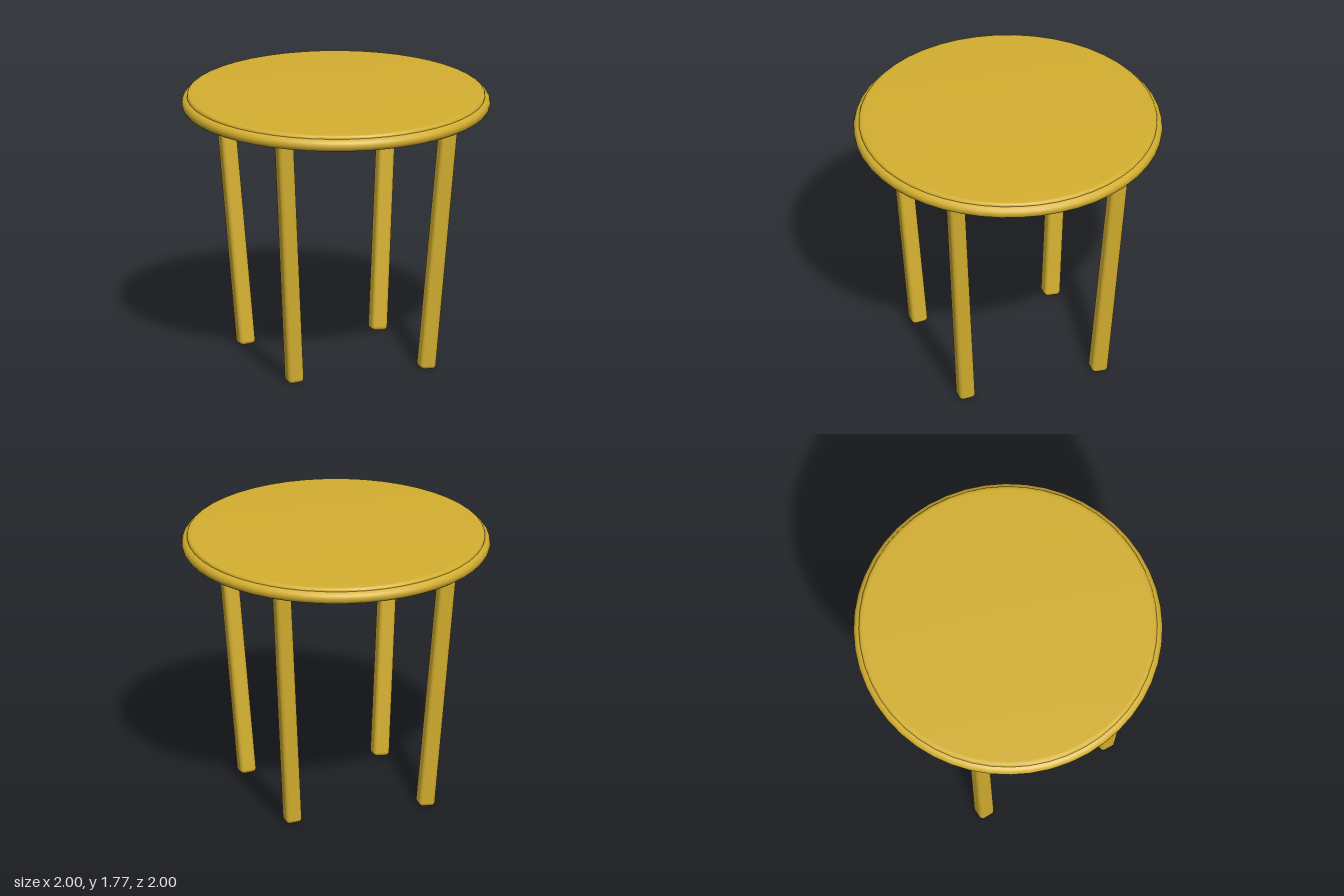
import * as THREE from 'three';
import { toCreasedNormals } from 'three/addons/utils/BufferGeometryUtils.js';
import { RoundedBoxGeometry } from 'three/addons/geometries/RoundedBoxGeometry.js';

const golden = new THREE.MeshStandardMaterial({ color: 0xd4af30 });
golden.name = 'golden wood';

// Round top: a disc with a rounded upper edge, wrapped by a round rim that hangs below it
function makeTableTop() {
  const points = [[0, 1.702], [0.85, 1.702]];
  const rimRadius = 0.042;
  for (let i = 0; i <= 10; i++) {
    const angle = THREE.MathUtils.degToRad(195 + i * 24.5);
    points.push([0.958 + rimRadius * Math.cos(angle), 1.713 + rimRadius * Math.sin(angle)]);
  }
  points.push([0.966, 1.762], [0.962, 1.77], [0.952, 1.775], [0.935, 1.776], [0, 1.776]);
  const profile = points.map(([r, y]) => new THREE.Vector2(r, y));
  const geometry = toCreasedNormals(new THREE.LatheGeometry(profile, 48), 0.8);
  const top = new THREE.Mesh(geometry, golden);
  top.name = 'tableTop';
  return top;
}

// Square leg with softened edges, splayed outwards towards the top
function makeLeg(sx, sz, name) {
  const foot = new THREE.Vector3(0.4535 * sx, 0.005, 0.4535 * sz);
  const head = new THREE.Vector3(0.571 * sx, 1.73, 0.571 * sz);
  const axis = head.clone().sub(foot);
  const geometry = new RoundedBoxGeometry(0.107, axis.length(), 0.107, 4, 0.027);
  const leg = new THREE.Mesh(geometry, golden);
  leg.position.copy(foot).add(head).multiplyScalar(0.5);
  leg.quaternion.setFromUnitVectors(new THREE.Vector3(0, 1, 0), axis.normalize());
  leg.name = name;
  return leg;
}

export function createModel() {
  const table = new THREE.Group();
  table.name = 'roundTable';
  table.add(makeTableTop());
  for (const sx of [1, -1]) {
    for (const sz of [1, -1]) {
      table.add(makeLeg(sx, sz, `${sz > 0 ? 'front' : 'back'}${sx > 0 ? 'Left' : 'Right'}Leg`));
    }
  }
  return table;
}
